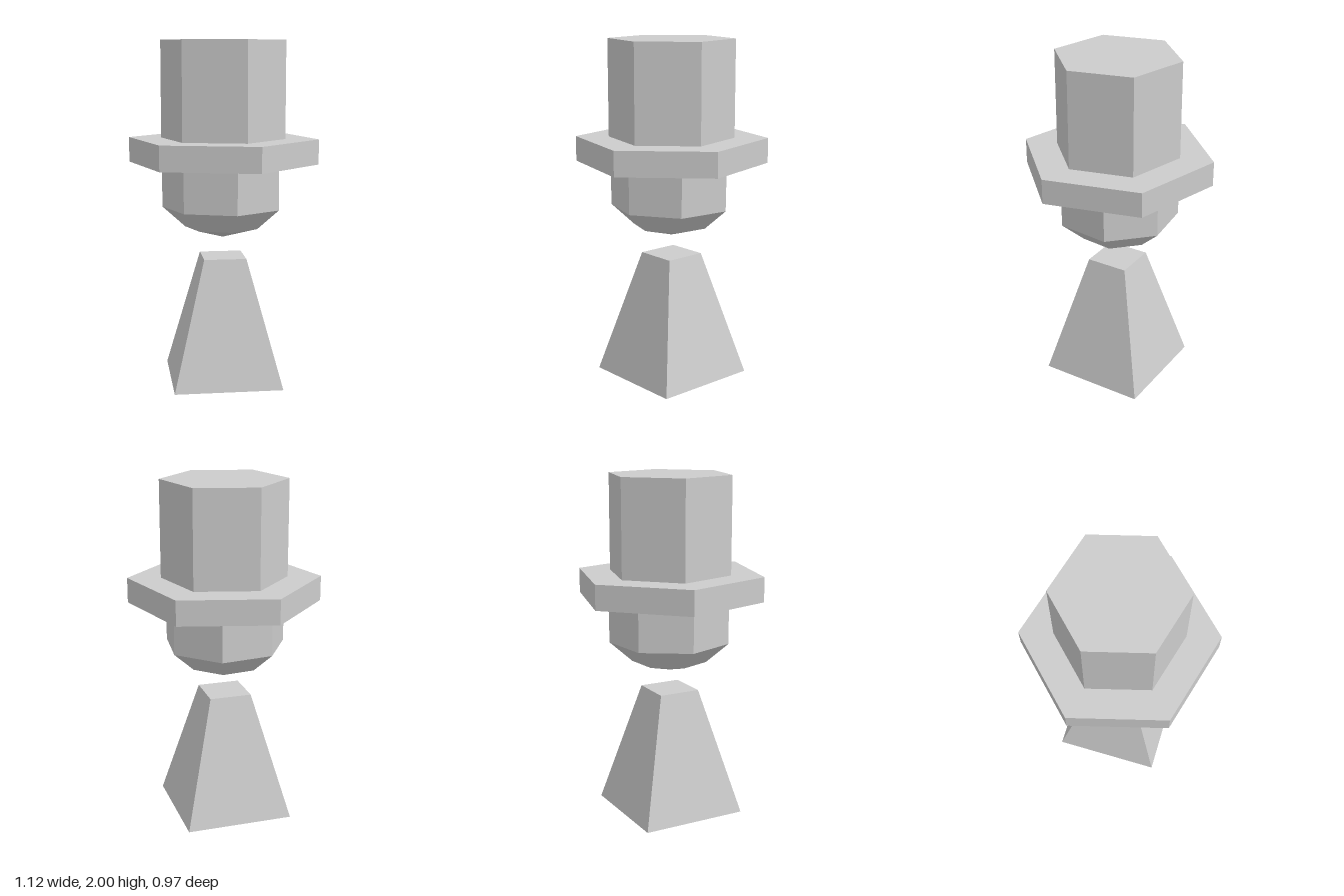
import * as THREE from 'three';

const material = new THREE.MeshStandardMaterial({ color: 0xcccccc, flatShading: true });

// Faceted upright prism or frustum between two heights
function prism(name, topRadius, bottomRadius, y0, y1, sides, turn = 0) {
  const geometry = new THREE.CylinderGeometry(topRadius, bottomRadius, y1 - y0, sides);
  geometry.rotateY(turn);
  geometry.translate(0, (y0 + y1) / 2, 0);
  const mesh = new THREE.Mesh(geometry, material);
  mesh.name = name;
  return mesh;
}

export function createModel() {
  const model = new THREE.Group();
  model.name = 'hattedFigure';

  // Four-sided tapering body, corners on the axes
  model.add(prism('body', 0.175, 0.445, 0, 0.74, 4));

  // Seven-sided head floating above the body, its top tucked inside the hat
  const profile = [
    [0, 0.852], [0.222, 0.915], [0.355, 1.033], [0.355, 1.34], [0, 1.4],
  ].map(([r, y]) => new THREE.Vector2(r, y));
  const head = new THREE.Mesh(new THREE.LatheGeometry(profile, 7, -Math.PI / 2), material);
  head.name = 'head';
  model.add(head);

  // Six-sided top hat, corners pointing left and right
  const hat = new THREE.Group();
  hat.name = 'hat';
  hat.add(
    prism('hatBrim', 0.558, 0.558, 1.29, 1.435, 6, Math.PI / 6),
    prism('hatCrown', 0.365, 0.365, 1.4, 2, 6, Math.PI / 6),
  );
  model.add(hat);

  return model;
}
